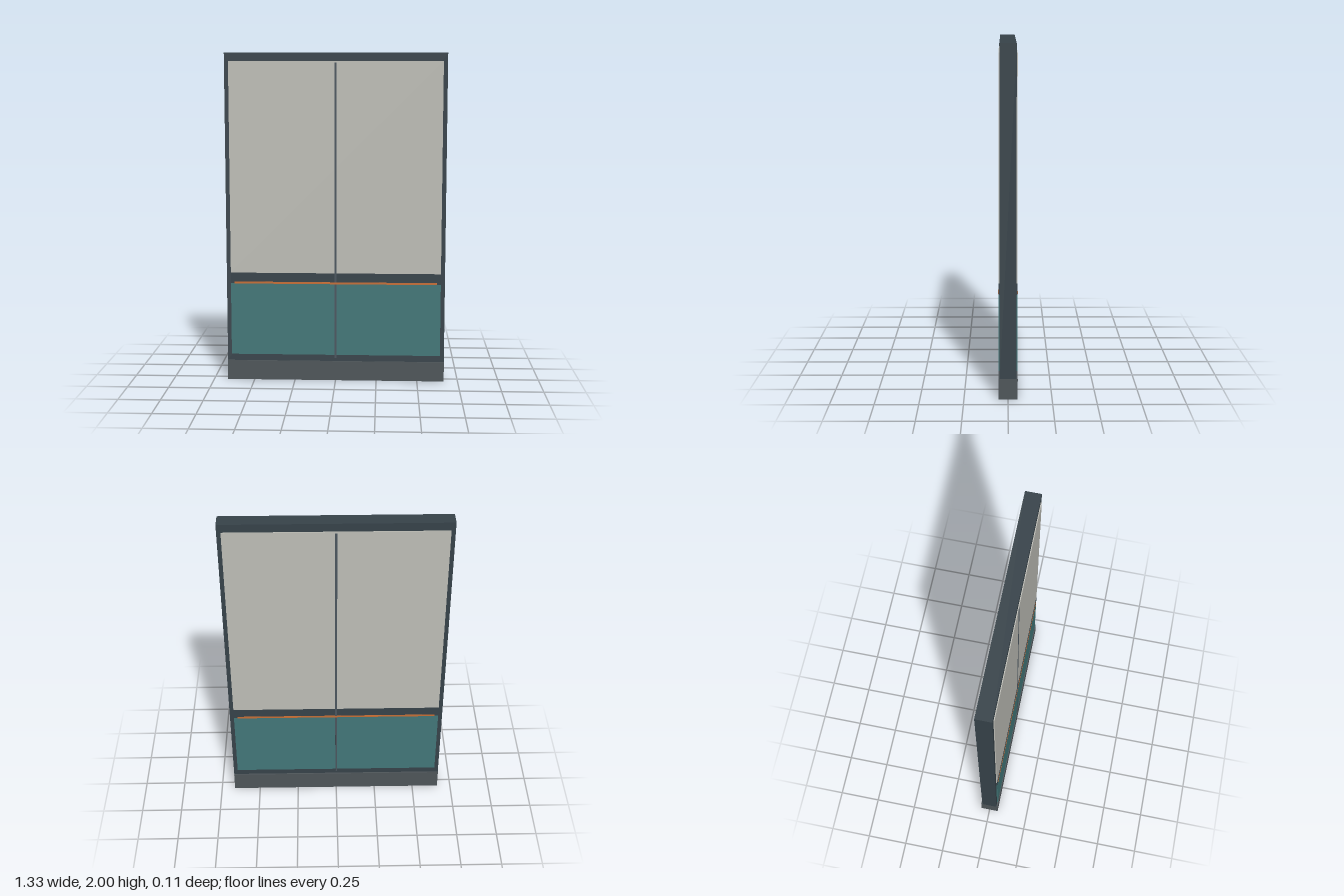
import * as THREE from 'three';

const material = (color) => new THREE.MeshStandardMaterial({ color });

export function createModel() {
  const model = new THREE.Group();
  model.name = 'displayPanel';

  const dark = material(0x37434a);
  const plinthGrey = material(0x4f565a);
  const pale = material(0xbfbfb8);
  const teal = material(0x43787a);
  const orange = material(0xc96f35);
  const seamGrey = material(0x4b565f);

  // Box spanning y0..y1 and z0..z1, centred on x = 0
  function slab(parent, name, mat, width, y0, y1, z0, z1) {
    const mesh = new THREE.Mesh(new THREE.BoxGeometry(width, y1 - y0, z1 - z0), mat);
    mesh.position.set(0, (y0 + y1) / 2, (z0 + z1) / 2);
    mesh.name = name;
    parent.add(mesh);
    return mesh;
  }

  // Solid frame and the wider plinth below it
  slab(model, 'frame', dark, 1.33, 0.12, 2, -0.047, 0.047);
  slab(model, 'plinth', plinthGrey, 1.33, 0, 0.12, -0.055, 0.055);

  // The same facing on the front and, turned half round, on the back
  for (const side of ['front', 'back']) {
    const face = new THREE.Group();
    face.name = side + 'Face';
    slab(face, 'upperPanel', pale, 1.28, 0.67, 1.95, 0.045, 0.0525);
    slab(face, 'lowerPanel', teal, 1.28, 0.16, 0.605, 0.045, 0.0525);
    slab(face, 'middleRail', dark, 1.28, 0.605, 0.67, 0.045, 0.053);
    slab(face, 'accentStrip', orange, 1.235, 0.603, 0.615, 0.045, 0.055);
    slab(face, 'centreSeam', seamGrey, 0.012, 0.14, 1.94, 0.045, 0.0545);
    if (side === 'back') face.rotation.y = Math.PI;
    model.add(face);
  }

  return model;
}
